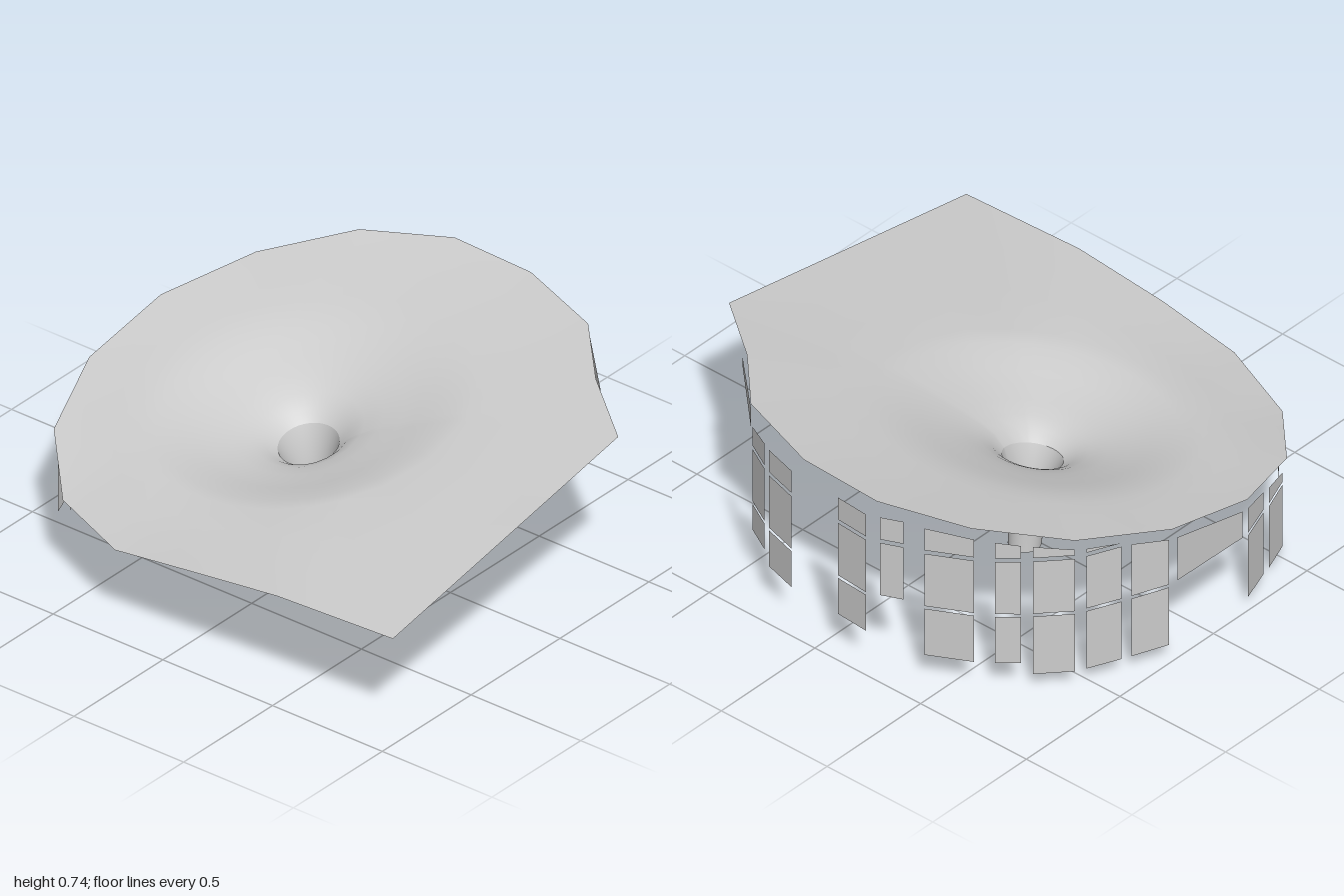
import * as THREE from 'three';

// Canopy edge [x, y, z], clockwise from the back when seen from above
const EDGE = [
  [-0.18, 0.49, -1], [0.21, 0.57, -0.99], [0.56, 0.64, -0.84], [0.82, 0.71, -0.58],
  [0.95, 0.74, -0.25], [0.935, 0.74, 0.11], [0.8, 0.73, 0.48], [0.56, 0.7, 0.71],
  [0.34, 0.67, 0.99], [-0.94, 0.437, 1], [-0.965, 0.433, 0.49], [-0.97, 0.39, 0.1],
  [-0.96, 0.34, -0.25], [-0.81, 0.34, -0.61], [-0.54, 0.41, -0.87],
].map((p) => new THREE.Vector3(...p));

// Joins closed rings of points into one smooth skin
function loft(rings) {
  const n = rings[0].length, index = [];
  for (let i = 0; i < rings.length - 1; i++) {
    for (let j = 0; j < n; j++) {
      const a = i * n + j, b = i * n + (j + 1) % n;
      index.push(a, b, a + n, b, b + n, a + n);
    }
  }
  const g = new THREE.BufferGeometry().setFromPoints(rings.flat());
  g.setIndex(index);
  g.computeVertexNormals();
  return g;
}

export function createModel() {
  const model = new THREE.Group();
  const grey = new THREE.MeshStandardMaterial({ color: 0xcccccc, side: THREE.DoubleSide });
  grey.name = 'pale grey';
  const add = (name, geometry, parent = model) => {
    const mesh = new THREE.Mesh(geometry, grey);
    mesh.name = name;
    parent.add(mesh);
  };

  // Outer edge with each side cut in three
  const outer = EDGE.flatMap((p, i) =>
    [0, 1 / 3, 2 / 3].map((t) => p.clone().lerp(EDGE[(i + 1) % EDGE.length], t)));
  const angles = outer.map((p) => Math.atan2(p.z + 0.15, p.x));
  const circle = (x, y, z, r, tiltX = 0, tiltZ = 0) => angles.map((a) => {
    const dx = r * Math.cos(a), dz = r * Math.sin(a);
    return new THREE.Vector3(x + dx, y + tiltX * dx + tiltZ * dz, z + dz);
  });
  const rim = circle(0.005, 0.365, -0.15, 0.11, 0.24);

  // Canopy: a bowl of tilted rings [radius, height, tilt], then a nearly flat sheet to the edge
  const bowl = [[0.15, 0.4, 0.24], [0.2, 0.428, 0.24], [0.27, 0.453, 0.24], [0.34, 0.474, 0.23],
    [0.4, 0.493, 0.22], [0.46, 0.512, 0.21], [0.53, 0.53, 0.2], [0.6, 0.542, 0.19]]
    .map(([r, y, tilt]) => circle(0, y, -0.15, r, tilt, 0.04));
  const sheet = [0.33, 0.67, 1].map((t) => bowl.at(-1).map((p, j) => p.clone().lerp(outer[j], t)));
  add('canopy', loft([rim, ...bowl, ...sheet]));

  // Hollow leaning stem
  add('stem', loft([
    circle(0.037, 0, -0.14, 0.06),
    circle(0.022, 0.14, -0.14, 0.067),
    circle(0.008, 0.27, -0.143, 0.077, 0.1),
    rim,
  ]));

  // Wall panes under the edge
  const panes = new THREE.Group();
  panes.name = 'wallPanes';
  model.add(panes);
  const pane = (x0, z0, x1, z1, b0, t0, b1, t1) => {
    const g = new THREE.BufferGeometry().setFromPoints([
      new THREE.Vector3(x0, b0, z0), new THREE.Vector3(x0, t0, z0),
      new THREE.Vector3(x1, t1, z1), new THREE.Vector3(x1, b1, z1)]);
    g.setIndex([0, 1, 2, 0, 2, 3]);
    g.computeVertexNormals();
    add('pane', g, panes);
  };
  const top = (x) => Math.min(0.48 + 0.215 * x, 0.672);

  // Each bay [x0, z0, x1, z1, bottom] has up to three panes below the sloping top
  const bays = [
    [-0.505, -0.88, -0.375, -0.93, 0.047], [-0.335, -0.94, -0.195, -0.99, 0.047],
    [-0.16, -0.995, 0.18, -0.99, 0.335],
    [0.22, -0.985, 0.36, -0.93, 0.065], [0.395, -0.915, 0.52, -0.86, 0.065],
    [0.56, -0.84, 0.67, -0.74, 0.065], [0.7, -0.71, 0.76, -0.64, 0.115],
    [0.805, -0.58, 0.89, -0.42, 0.115], [0.91, -0.34, 0.945, -0.26, 0.335],
    [0.965, -0.21, 0.955, -0.07, 0.16], [0.945, 0.16, 0.905, 0.3, 0.16],
    [0.885, 0.34, 0.825, 0.45, 0.205],
  ];
  for (const [x0, z0, x1, z1, bottom] of bays) {
    for (const [lo, hi] of [[bottom, 0.318], [0.33, 0.56], [0.575, 1]]) {
      const t0 = Math.max(lo, Math.min(hi, top(x0)));
      const t1 = Math.max(lo, Math.min(hi, top(x1)));
      if (t0 > lo || t1 > lo) pane(x0, z0, x1, z1, lo, t0, lo, t1);
    }
  }

  // Tapered end panes
  pane(-0.79, -0.59, -0.52, -0.85, 0.285, 0.295, 0.312, 0.37);
  pane(0.8, 0.48, 0.55, 0.74, 0.63, 0.715, 0.63, 0.67);

  return model;
}
